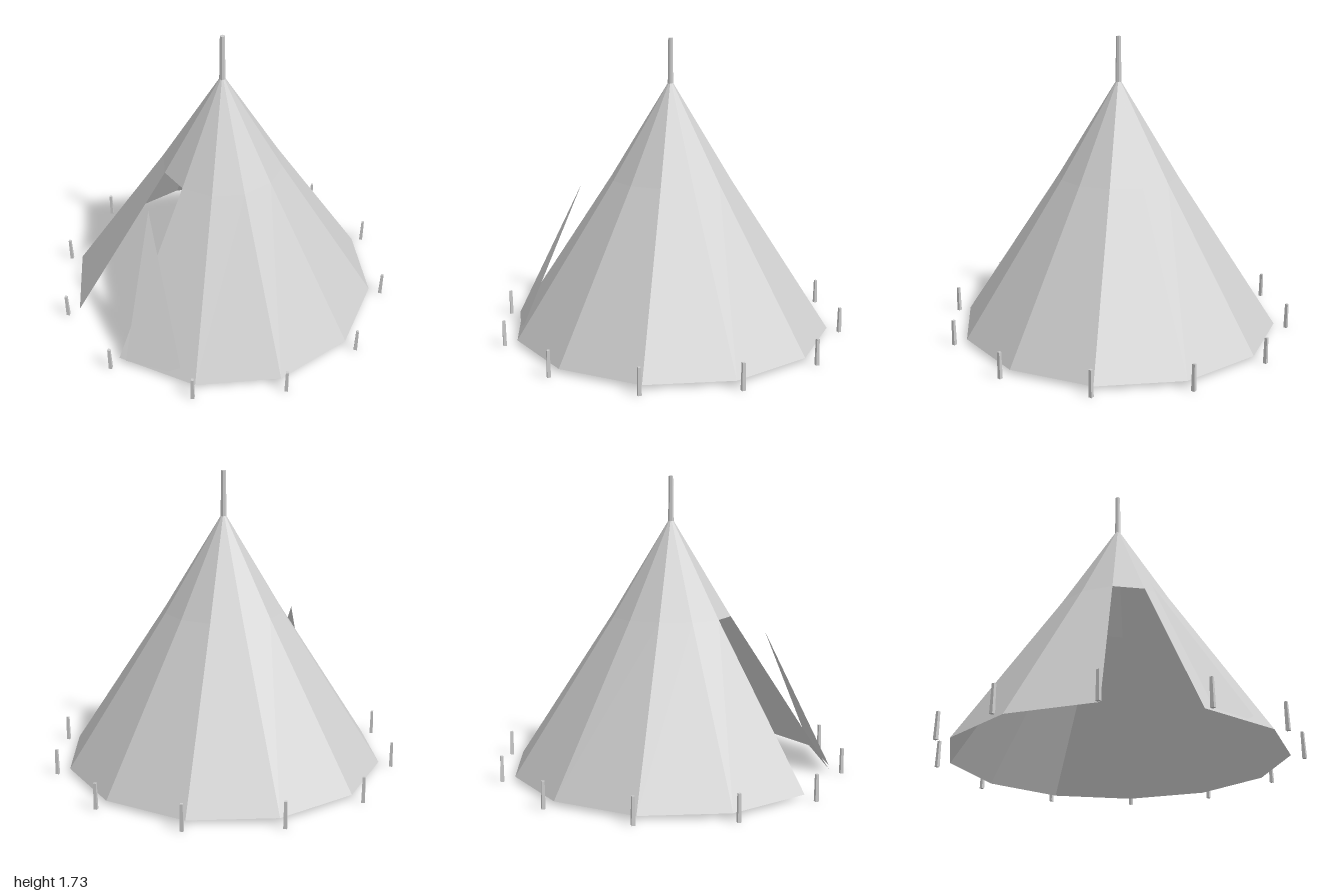
import * as THREE from 'three';

const canvas = new THREE.MeshStandardMaterial({ name: 'canvas grey', color: 0xcccccc, side: THREE.DoubleSide, flatShading: true });
const stake = new THREE.MeshStandardMaterial({ name: 'stake grey', color: 0xcccccc, flatShading: true });

const SIDES = 12;
// Height and distance from the axis to the flat of a panel, hem to peak
const PROFILE = [[0.02, 0.915], [0.915, 0.345], [1.48, 0.01]];

// One flat-sided canvas panel, drawn facing +z, starting at a given profile row
function panelGeometry(firstRow) {
  const half = Math.tan(Math.PI / SIDES);
  const rows = PROFILE.slice(firstRow);
  const pos = [];
  const index = [];
  rows.forEach(([y, r], i) => {
    pos.push(-r * half, y, r, r * half, y, r);
    if (i > 0) {
      const a = (i - 1) * 2;
      index.push(a, a + 1, a + 3, a, a + 3, a + 2);
    }
  });
  const g = new THREE.BufferGeometry();
  g.setAttribute('position', new THREE.Float32BufferAttribute(pos, 3));
  g.setIndex(index);
  g.computeVertexNormals();
  return g;
}

function addMesh(parent, name, geometry, material) {
  const m = new THREE.Mesh(geometry, material);
  m.name = name;
  parent.add(m);
  return m;
}

export function createModel() {
  const model = new THREE.Group();
  model.name = 'tent';

  // Twelve canvas panels; the front one is left open below as the doorway
  const cover = new THREE.Group();
  cover.name = 'canvasCover';
  model.add(cover);
  const full = panelGeometry(0);
  const overDoor = panelGeometry(1);
  for (let i = 0; i < SIDES; i++) {
    const p = addMesh(cover, i === 0 ? 'panelAboveDoor' : 'panel', i === 0 ? overDoor : full, canvas);
    p.rotation.y = (i / SIDES) * Math.PI * 2;
  }

  // Door flap folded back over the next panel
  const flap = new THREE.BufferGeometry();
  flap.setAttribute('position', new THREE.Float32BufferAttribute([
    0.075, 0.84, 0.565, 0.295, 0.03, 0.9, 0.58, 0.04, 0.7,
  ], 3));
  flap.computeVertexNormals();
  addMesh(model, 'doorFlap', flap, canvas);

  // Pole end standing out of the peak
  const pole = addMesh(model, 'poleTip', new THREE.CylinderGeometry(0.014, 0.018, 0.28, 8), stake);
  pole.position.y = 1.59;

  // Ring of ground pegs, one off each corner
  const pegs = new THREE.Group();
  pegs.name = 'pegs';
  model.add(pegs);
  const pegShape = new THREE.CylinderGeometry(0.011, 0.014, 0.15, 4);
  for (let i = 0; i < SIDES; i++) {
    const a = ((i + 0.5) / SIDES) * Math.PI * 2;
    const peg = addMesh(pegs, 'peg', pegShape, stake);
    peg.position.set(Math.sin(a) * 1.02, 0.075, Math.cos(a) * 1.02);
  }
  return model;
}
